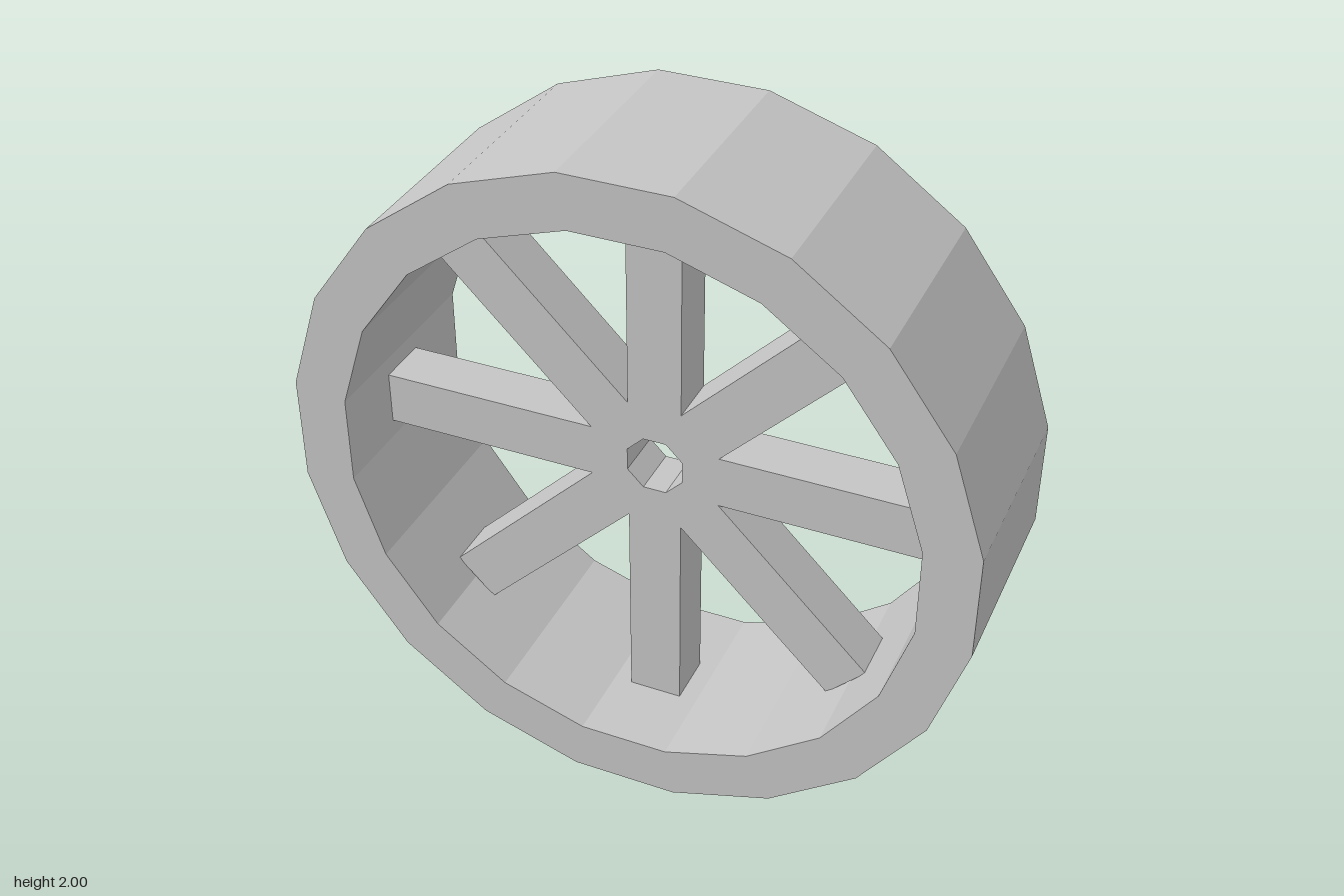
import * as THREE from 'three';

const RIM_SIDES = 20, SPOKES = 8;
const RIM_DEPTH = 0.63, SPOKE_DEPTH = 0.16, HALF_WIDTH = 0.08;
const SPOKE_END = 0.845; // spoke ends sit on the flats of the inner rim

// Corners of a regular polygon whose flats lie across the axes
function polygon(sides, apothem) {
  const radius = apothem / Math.cos(Math.PI / sides);
  return Array.from({ length: sides }, (_, i) => {
    const a = ((i + 0.5) / sides) * Math.PI * 2;
    return new THREE.Vector2(Math.cos(a) * radius, Math.sin(a) * radius);
  });
}

// Extrude an outline with one hole, centred in depth
function plate(outline, hole, depth, material, name) {
  const shape = new THREE.Shape(outline);
  shape.holes.push(new THREE.Path(hole));
  const geometry = new THREE.ExtrudeGeometry(shape, { depth, bevelEnabled: false });
  geometry.translate(0, 0, -depth / 2);
  const mesh = new THREE.Mesh(geometry, material);
  mesh.name = name;
  return mesh;
}

// Star outline: two tip corners per spoke, then the notch before the next spoke
function spokeOutline() {
  const points = [];
  const notch = HALF_WIDTH / Math.tan(Math.PI / SPOKES);
  const origin = new THREE.Vector2();
  for (let i = 0; i < SPOKES; i++) {
    const angle = (i / SPOKES) * Math.PI * 2;
    for (const [x, y] of [[SPOKE_END, -HALF_WIDTH], [SPOKE_END, HALF_WIDTH], [notch, HALF_WIDTH]]) {
      points.push(new THREE.Vector2(x, y).rotateAround(origin, angle));
    }
  }
  return points;
}

export function createModel() {
  const grey = new THREE.MeshStandardMaterial({ color: 0xc4c4c4, flatShading: true });
  grey.name = 'light grey';

  const wheel = new THREE.Group();
  wheel.name = 'wheel';
  wheel.position.y = 1;

  // Wide faceted rim
  wheel.add(plate(polygon(RIM_SIDES, 1), polygon(RIM_SIDES, 0.843), RIM_DEPTH, grey, 'rim'));
  // Eight spokes meeting around an octagonal axle hole
  wheel.add(plate(spokeOutline(), polygon(SPOKES, 0.083), SPOKE_DEPTH, grey, 'spokes'));

  const model = new THREE.Group();
  model.name = 'spokedWheel';
  model.add(wheel);
  return model;
}
